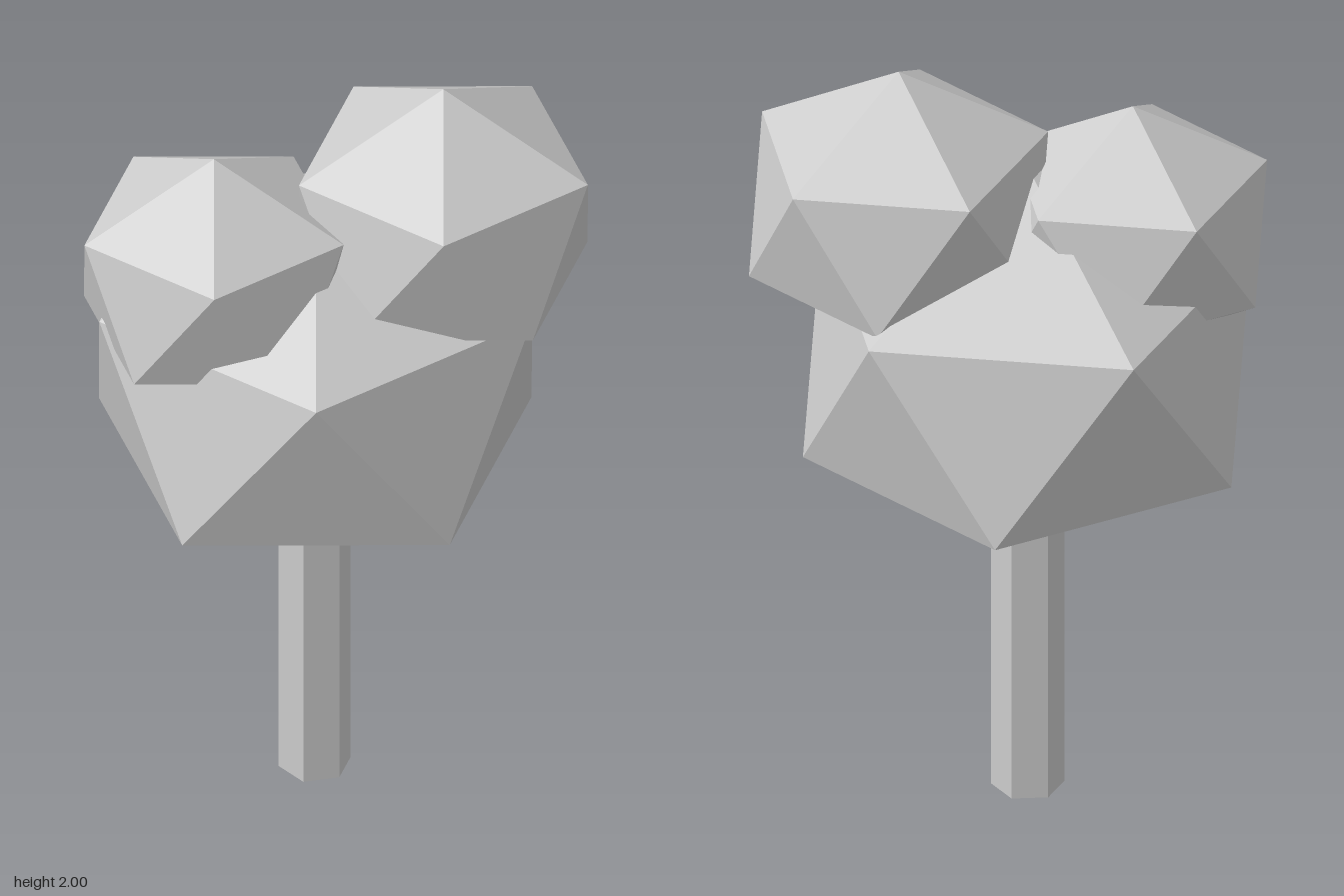
import * as THREE from 'three';

export function createModel() {
  const model = new THREE.Group();
  const grey = new THREE.MeshStandardMaterial({ color: 0xcccccc, flatShading: true });
  grey.name = 'light grey';

  // Hexagonal trunk, its top buried in the crown
  const trunk = new THREE.Mesh(new THREE.CylinderGeometry(0.09, 0.09, 0.85, 6), grey);
  trunk.name = 'trunk';
  trunk.position.set(-0.055, 0.425, 0);
  model.add(trunk);

  // Slightly squashed icosahedron standing on a corner, one upper corner towards +x
  const tilt = -Math.atan(2 / (1 + Math.sqrt(5)));
  function addFoliage(name, radius, height, x, y, z) {
    const geometry = new THREE.IcosahedronGeometry(1, 0);
    geometry.rotateZ(tilt);
    geometry.scale(radius, height, radius);
    geometry.computeVertexNormals();
    const mesh = new THREE.Mesh(geometry, grey);
    mesh.name = name;
    mesh.position.set(x, y, z);
    model.add(mesh);
  }

  addFoliage('mainCrown', 0.623, 0.531, -0.053, 1.212, 0);
  addFoliage('leftCrown', 0.416, 0.374, 0.235, 1.628, -0.127);
  addFoliage('rightCrown', 0.373, 0.335, -0.262, 1.545, 0.163);

  return model;
}
